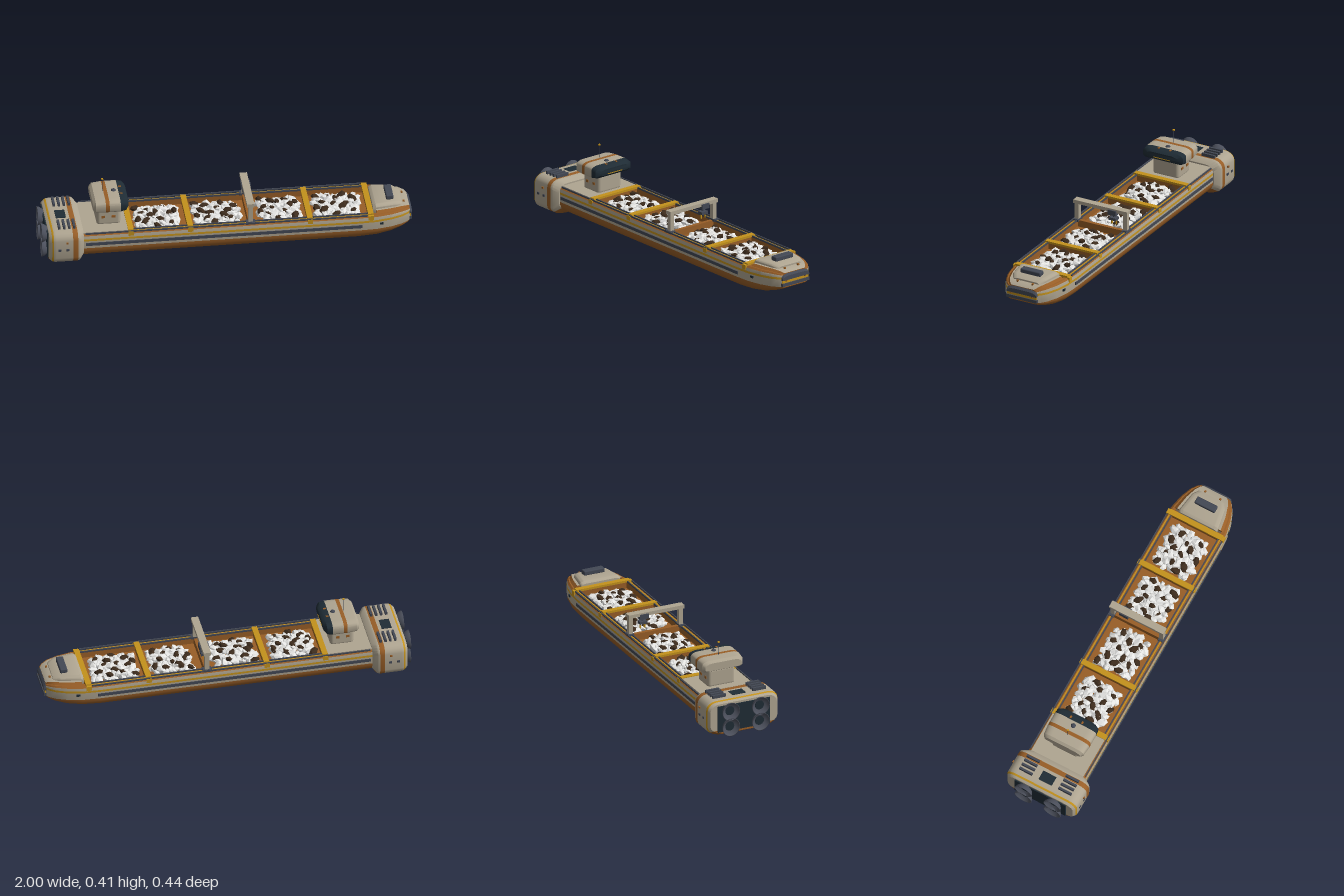
import * as THREE from 'three';
import { mergeGeometries, toCreasedNormals } from 'three/addons/utils/BufferGeometryUtils.js';
import { RoundedBoxGeometry } from 'three/addons/geometries/RoundedBoxGeometry.js';

const paint = (name, color, extra = {}) => Object.assign(new THREE.MeshStandardMaterial({ color, ...extra }), { name });

export function createModel() {
  const ship = new THREE.Group();
  ship.name = 'oreBarge';
  const orange = paint('rust orange', 0x985e27);
  const beige = paint('warm beige', 0xafa591);
  const yellow = paint('safety yellow', 0xc4921c);
  const slate = paint('slate', 0x434854);
  const navy = paint('dark glass', 0x1f2c35);
  const white = paint('pale ore', 0xe6e6e4);
  const brown = paint('dark ore', 0x3d2c1d);
  const metal = paint('nozzle metal', 0x4c505c, { side: THREE.DoubleSide });

  const add = (name, geo, mat, x = 0, y = 0, z = 0) => {
    const m = new THREE.Mesh(geo, mat);
    m.name = name;
    m.position.set(x, y, z);
    ship.add(m);
    return m;
  };
  // Box given by its limits on each axis
  const box = (name, mat, x0, x1, y0, y1, z0, z1) =>
    add(name, new THREE.BoxGeometry(x1 - x0, y1 - y0, z1 - z0), mat, (x0 + x1) / 2, (y0 + y1) / 2, (z0 + z1) / 2);
  const pair = (name, mat, x0, x1, y0, y1, z0, z1) => {
    box(name + 'Left', mat, x0, x1, y0, y1, z0, z1);
    box(name + 'Right', mat, x0, x1, y0, y1, -z1, -z0);
  };

  // Skin along x through mirrored half profiles of [y, z]; pick(i, j) gives the colour of a strip
  const loft = (name, xs, profile, pick, crease = 0.6) => {
    const mats = [], tris = [];
    const halves = xs.map(profile), n = halves[0].length;
    const rings = halves.map((h, i) => [...h, ...h.slice().reverse().map(([y, z]) => [y, -z])]
      .map(([y, z]) => [xs[i], y, z]));
    const quad = (mat, a, b, c, d) => {
      let k = mats.indexOf(mat);
      if (k < 0) { k = mats.push(mat) - 1; tris.push([]); }
      tris[k].push(...a, ...b, ...c, ...a, ...c, ...d);
    };
    for (let i = 0; i < xs.length - 1; i++) {
      for (let r = 0; r < 2 * n; r++) {
        const s = (r + 1) % (2 * n);
        const j = r < n ? r : 2 * n - 2 - r;
        quad(pick(i, j), rings[i][r], rings[i + 1][r], rings[i + 1][s], rings[i][s]);
      }
    }
    const last = xs.length - 1;
    for (let j = 0; j < n - 1; j++) {
      const k = 2 * n - 1 - j, A = rings[0], B = rings[last];
      quad(pick(0, j), A[j], A[j + 1], A[k - 1], A[k]);
      quad(pick(last - 1, j), B[j], B[k], B[k - 1], B[j + 1]);
    }
    const geo = new THREE.BufferGeometry();
    geo.setAttribute('position', new THREE.Float32BufferAttribute(tris.flat(), 3));
    let start = 0;
    tris.forEach((t, k) => { geo.addGroup(start, t.length / 3, k); start += t.length / 3; });
    return add(name, toCreasedNormals(geo, crease), mats);
  };
  // Rounded half profile with separate corner radii at bottom and top
  const rounded = (hw, y0, y1, rb, hb, rt, ht) => {
    const p = [], N = 5;
    for (let k = 0; k <= N; k++) {
      const a = k / N * Math.PI / 2;
      p.push([y0 + hb * (1 - Math.cos(a)), hw - rb + rb * Math.sin(a)]);
    }
    for (let k = 0; k <= N; k++) {
      const a = k / N * Math.PI / 2;
      p.push([y1 - ht + ht * Math.sin(a), hw - rt + rt * Math.cos(a)]);
    }
    return p;
  };

  // Hull with a sunken hold
  const hullX = [-0.8, 0.7, 0.8, 0.88, 0.94, 0.972, 0.986];
  const hullW = [0.175, 0.175, 0.17, 0.153, 0.129, 0.107, 0.09];
  const keel = [0.028, 0.028, 0.033, 0.043, 0.058, 0.07, 0.08];
  const drop = [1, 1, 1, 1, 0.95, 0.75, 0.5];
  const hullBands = [orange, orange, orange, orange, orange, orange, beige, yellow, beige, orange, orange, orange, orange];
  loft('hull', hullX, (x, i) => {
    const w = hullW[i], k = keel[i], up = y => 0.143 + (y - 0.143) * drop[i], p = [];
    for (let s = 0; s <= 6; s++) {
      const a = s / 6 * Math.PI / 2;
      p.push([k + (0.088 - k) * (1 - Math.cos(a)), w * (0.68 + 0.32 * Math.sin(a))]);
    }
    return [...p, [0.131, w], [0.143, w], [up(0.16), w * 0.98], [up(0.168), w * 0.92], [up(0.168), w * 0.81], [0.132, w * 0.81]];
  }, (i, j) => j < 0 ? orange : hullBands[j]);
  pair('sideRubbingStrip', slate, -0.77, 0.72, 0.104, 0.121, 0.17, 0.179);
  pair('deckRail', slate, -0.77, 0.75, 0.168, 0.176, 0.164, 0.17);
  pair('coamingLine', yellow, -0.54, 0.76, 0.165, 0.171, 0.15, 0.156);
  pair('holdEdge', slate, -0.52, 0.76, 0.166, 0.175, 0.139, 0.145);

  // Fore and aft decks
  loft('bowDeck', hullX.slice(2), (x, i) => {
    const w = hullW[i + 2], top = 0.143 + 0.037 * drop[i + 2];
    return [[0.138, w * 0.88], [top - 0.013, w * 0.88], [top, w * 0.78]];
  }, (i, j) => j === 1 ? orange : beige);
  box('aftDeck', beige, -0.79, -0.54, 0.14, 0.175, -0.158, 0.158);
  loft('forecastle', [0.785, 0.8, 0.91, 0.945], (x, i) => {
    const w = [0.115, 0.118, 0.1, 0.08][i], t = [0.19, 0.2, 0.2, 0.186][i];
    return rounded(w, 0.155, t, 0.001, 0.001, 0.025, 0.014);
  }, () => beige);
  add('bowWinch', new RoundedBoxGeometry(0.04, 0.026, 0.122, 2, 0.006), slate, 0.882, 0.211, 0);
  pair('bowCleat', orange, 0.952, 0.962, 0.172, 0.182, 0.041, 0.051);
  pair('bowPort', navy, 0.815, 0.835, 0.112, 0.124, 0.16, 0.169);

  // Nose bumper
  box('noseLowerBar', slate, 0.965, 0.998, 0.09, 0.107, -0.093, 0.093);
  box('noseYellowBar', yellow, 0.965, 0.992, 0.107, 0.125, -0.09, 0.09);
  loft('noseUpperBar', [0.955, 0.988, 0.998], (x, i) =>
    rounded(0.092, 0.124, [0.163, 0.158, 0.148][i], 0.001, 0.001, 0.05, 0.02), () => slate);
  pair('noseLamp', orange, 0.985, 0.997, 0.117, 0.124, 0.06, 0.068);

  // Hold dividers
  [-0.525, -0.205, 0.44, 0.768].forEach(x => {
    box('holdDivider', orange, x - 0.01, x + 0.01, 0.132, 0.17, -0.142, 0.142);
    box('dividerBeam', yellow, x - 0.015, x + 0.015, 0.167, 0.179, -0.16, 0.16);
    pair('beamFoot', yellow, x - 0.014, x + 0.014, 0.146, 0.172, 0.158, 0.174);
  });
  box('gantryDivider', orange, 0.11, 0.13, 0.132, 0.17, -0.142, 0.142);

  // Ore heaps
  let seed = 7;
  const rnd = () => (seed = (seed * 16807) % 2147483647) / 2147483647;
  const heap = (name, mat, x0, x1, count, size, y0, y1) => {
    const rocks = [];
    for (let i = 0; i < count; i++) {
      const g = new THREE.IcosahedronGeometry(size * (0.8 + 0.4 * rnd()), 0);
      g.scale(1.15, 0.55, 0.75);
      g.rotateX((rnd() - 0.5) * 1.4).rotateZ((rnd() - 0.5) * 1.4).rotateY(rnd() * 6.3);
      // Spread evenly on a jittered spiral of cells
      const u = ((i * 0.618 + 0.1 * rnd()) % 1) * 2 - 1, v = (i + rnd()) / count * 2 - 1;
      const y = y0 + (y1 - y0) * (1 - Math.max(u * u, v * v)) * (0.6 + 0.4 * rnd());
      g.translate((x0 + x1) / 2 + u * (x1 - x0) / 2, y, v * 0.1);
      rocks.push(g);
    }
    add(name, mergeGeometries(rocks), mat);
  };
  [[-0.48, -0.26], [-0.16, 0.07], [0.185, 0.395], [0.485, 0.72]].forEach(([a, b]) => {
    heap('paleOre', white, a, b, 75, 0.028, 0.143, 0.163);
    heap('darkOre', brown, a, b, 13, 0.026, 0.154, 0.17);
  });

  // Travelling gantry
  box('gantryBeam', beige, 0.1, 0.14, 0.27, 0.29, -0.165, 0.165);
  pair('gantryLeg', beige, 0.107, 0.133, 0.165, 0.272, 0.136, 0.16);
  pair('gantryFoot', slate, 0.095, 0.145, 0.165, 0.178, 0.134, 0.168);
  box('gantryTrolley', slate, 0.095, 0.147, 0.254, 0.282, -0.1, -0.049);
  box('hoistArm', slate, 0.117, 0.125, 0.23, 0.256, -0.078, -0.07);
  box('hoistHead', slate, 0.105, 0.14, 0.221, 0.236, -0.096, -0.053);
  [-0.088, -0.062].forEach(z => box('hoistClaw', yellow, 0.117, 0.125, 0.195, 0.222, z - 0.003, z + 0.003));

  // Deckhouse and bridge
  add('deckhouse', new RoundedBoxGeometry(0.13, 0.11, 0.16, 3, 0.018), beige, -0.635, 0.22, 0);
  [-0.665, -0.61].forEach(x => pair('deckhouseWindow', orange, x - 0.01, x + 0.01, 0.212, 0.226, 0.078, 0.082));
  loft('bridge', [-0.722, -0.708, -0.655, -0.635, -0.575, -0.545, -0.53], (x, i) => {
    const w = [0.108, 0.12, 0.125, 0.125, 0.125, 0.122, 0.1][i];
    const lo = [0.275, 0.267, 0.266, 0.266, 0.266, 0.272, 0.285][i];
    const hi = [0.318, 0.33, 0.334, 0.334, 0.334, 0.33, 0.318][i];
    return rounded(w, lo, hi, 0.025, 0.012, 0.045, 0.022);
  }, i => [beige, beige, orange, beige, navy, navy][i]);
  box('bridgeBrow', yellow, -0.56, -0.528, 0.288, 0.292, -0.05, 0.05);
  pair('roofLamp', orange, -0.57, -0.555, 0.329, 0.335, 0.03, 0.04);
  const dome = new THREE.SphereGeometry(0.015, 16, 8, 0, Math.PI * 2, 0, Math.PI / 2);
  add('radarDome', dome, slate, -0.6, 0.328, 0);
  add('antenna', new THREE.CylinderGeometry(0.001, 0.0018, 0.075, 8), slate, -0.66, 0.368, 0);
  add('antennaTip', new THREE.BoxGeometry(0.01, 0.007, 0.01), yellow, -0.66, 0.407, 0);

  // Engine block
  const blockX = [-0.968, -0.955, -0.945, -0.932, -0.842, -0.815, -0.803, -0.78];
  const blockBands = [beige, yellow, beige, beige, orange, beige, beige];
  loft('engineBlock', blockX, (x, i) => {
    const w = [0.197, 0.207, 0.211, 0.212, 0.212, 0.212, 0.208, 0.18][i];
    const e = [0.013, 0.005, 0.001, 0, 0, 0, 0.003, 0.022][i];
    return rounded(w, 0.004 + e, 0.205 - e, 0.1, 0.055, 0.055, 0.045);
  }, (i, j) => j < 3 ? orange : blockBands[i]);
  for (let i = 0; i < 4; i++) {
    const x = -0.91 + i * 0.027;
    pair('coolingFin', slate, x - 0.006, x + 0.006, 0.19, 0.222, 0.08, 0.158);
  }
  box('topVent', navy, -0.915, -0.86, 0.2, 0.207, -0.04, 0.04);
  pair('blockLamp', orange, -0.88, -0.868, 0.147, 0.156, 0.208, 0.219);
  [-0.915, -0.87].forEach(x => pair('blockPort', slate, x - 0.008, x + 0.008, 0.102, 0.114, 0.208, 0.216));

  // Four thrusters on the stern plate
  box('sternPlate', navy, -0.974, -0.96, 0.03, 0.18, -0.155, 0.155);
  const bell = [[0.028, 0], [0.038, 0.008], [0.047, 0.022], [0.052, 0.036], [0.048, 0.036], [0.036, 0.016], [0.001, 0.012]]
    .map(([r, h]) => new THREE.Vector2(r, h));
  for (const y of [0.06, 0.15]) for (const z of [-0.088, 0.088]) {
    add('thruster', new THREE.LatheGeometry(bell, 24), metal, -0.964, y, z).rotation.z = Math.PI / 2;
    const core = add('thrusterCore', new THREE.CylinderGeometry(0.026, 0.026, 0.004, 20), navy, -0.98, y, z);
    core.rotation.z = Math.PI / 2;
  }
  return ship;
}
